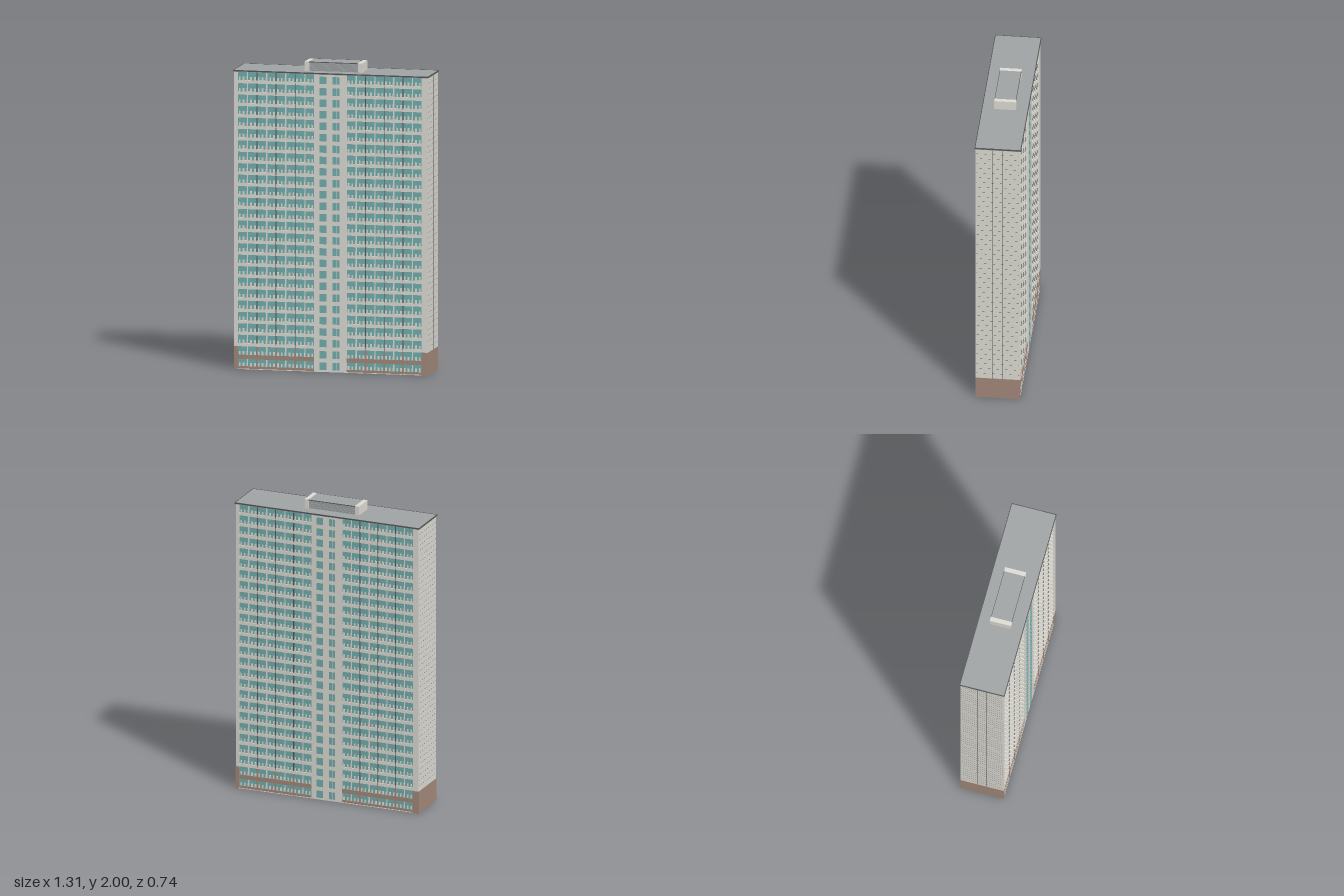
import * as THREE from 'three';
import { mergeGeometries } from 'three/addons/utils/BufferGeometryUtils.js';

const FLOORS = 26, FH = 0.0742, TOP = FLOORS * FH;   // storeys
const HX = 0.6375, HZ = 0.143;                       // half length and half depth
const BASE = 2 * FH;                                 // brown base height
const BAYS = 4, WALL = 0.615;                        // bays per wing, inner face of end wall
const WINGS = [[-WALL, -0.11], [0.104, 0.598]];      // balcony wings along one facade

const mat = (name, color) => {
  const m = new THREE.MeshStandardMaterial({ color });
  m.name = name;
  return m;
};

// Box given by its extents
function box(x0, x1, y0, y1, z0, z1) {
  const g = new THREE.BoxGeometry(x1 - x0, y1 - y0, z1 - z0);
  return g.translate((x0 + x1) / 2, (y0 + y1) / 2, (z0 + z1) / 2);
}

export function createModel() {
  const concrete = mat('concrete', 0xdfddd5);
  const brown = mat('brown cladding', 0xa58a7b);
  const glass = mat('teal glass', 0x74b0b0);
  const roofGrey = mat('roof grey', 0xa0a4a4);
  const dark = mat('dark joint', 0x56595a);

  const tower = new THREE.Group();
  tower.name = 'tower';

  // Merge boxes into one mesh; "both" repeats them turned half round
  function add(name, material, boxes, both = false) {
    let g = mergeGeometries(boxes);
    if (both) g = mergeGeometries([g, g.clone().rotateY(Math.PI)]);
    const mesh = new THREE.Mesh(g, material);
    mesh.name = name;
    tower.add(mesh);
  }

  // Glazed inner body, ground plate and stair core
  const zGlass = HZ - 0.01, zRail = HZ - 0.002;
  add('glazing', glass, [box(-WALL, WALL, 0.004, TOP, -zGlass, zGlass)]);
  add('groundPlate', concrete, [box(-WALL, WALL, 0, 0.004, -HZ, HZ)]);
  add('stairCore', concrete, [box(WINGS[0][1], WINGS[1][0], 0, TOP, zGlass - 0.01, HZ)], true);

  // End walls with brown base
  const returnX = WINGS[1][1];
  add('endWall', concrete, [
    box(WALL, HX, BASE, TOP, -HZ, HZ),
    box(returnX, WALL, BASE, TOP, zGlass - 0.01, HZ),
  ], true);
  add('endWallBase', brown, [
    box(WALL, HX + 0.002, 0, BASE, -HZ - 0.001, HZ + 0.001),
    box(returnX, WALL, 0, BASE, zGlass - 0.01, HZ + 0.001),
  ], true);

  // Panel joints on the end walls
  const joints = [];
  for (const f of [0.39, 0.6]) {
    const z = HZ - 2 * HZ * f;
    joints.push(box(HX - 0.001, HX + 0.0005, BASE, TOP, z - 0.0014, z + 0.0014));
  }
  for (let i = 5; i < FLOORS * 2; i++) {
    const y = i * FH / 2;
    joints.push(box(HX - 0.001, HX + 0.0004, y - 0.0004, y + 0.0004, -HZ + 0.006, HZ - 0.006));
  }
  add('panelJoints', dark, joints, true);

  // Facade, storey by storey
  const parapets = [], baseParapets = [], posts = [], fins = [], baseFins = [], stairWindows = [];
  for (const [x0, x1] of WINGS) {
    const bayW = (x1 - x0) / BAYS;
    // Fins between balconies
    for (let b = 1; b < BAYS; b++) {
      const x = x0 + b * bayW;
      fins.push(box(x - 0.002, x + 0.002, BASE, TOP, zGlass - 0.005, zRail));
      baseFins.push(box(x - 0.004, x + 0.004, 0, BASE, zGlass - 0.005, HZ));
    }
    for (let i = 0; i < FLOORS; i++) {
      const y = i * FH;
      // Balcony slab with low parapet
      const list = i < 2 ? baseParapets : parapets;
      list.push(box(x0, x1, y, y + 0.02, zGlass - 0.005, zRail));
      if (i === 1) list.push(box(x0, x1, y - 0.008, y, zGlass - 0.005, zRail));
      for (let b = 0; b < BAYS; b++) {
        const xb = x0 + b * bayW;
        // Railing posts, with a window mullion behind them
        for (let k = 0; k < 5; k++) {
          const x = xb + bayW * (k + 0.5) / 5;
          posts.push(box(x - 0.0055, x + 0.0055, y + 0.02, y + 0.043, zRail - 0.002, zRail));
        }
        const xm = xb + bayW * 0.5;
        posts.push(box(xm - 0.004, xm + 0.004, y + 0.02, y + FH, zGlass - 0.004, zGlass + 0.001));
      }
    }
  }
  // Stair windows
  for (let i = 0; i < FLOORS; i++) {
    for (const [a, b] of [[-0.073, -0.028], [0.012, 0.033], [0.037, 0.056]]) {
      stairWindows.push(box(a, b, i * FH + 0.013, i * FH + 0.061, HZ - 0.002, HZ + 0.0008));
    }
  }
  add('balconyParapets', concrete, parapets, true);
  add('baseParapets', brown, baseParapets, true);
  add('railingPosts', concrete, posts, true);
  add('balconyFins', dark, fins, true);
  add('baseFins', brown, baseFins, true);
  add('stairWindows', glass, stairWindows, true);

  // Roof slab with thin dark rim
  const RX = HX + 0.006, RZ = HZ + 0.006;
  add('roofSlab', roofGrey, [box(-RX, RX, TOP, 1.939, -RZ, RZ)]);
  add('roofRim', dark, [
    box(-RX - 0.001, RX + 0.001, 1.932, 1.94, RZ - 0.004, RZ + 0.001),
    box(RX - 0.004, RX + 0.001, 1.932, 1.94, -RZ, RZ),
  ], true);

  // Rooftop plant room: end blocks, louvred sides, flat lid
  const PX = 0.19, PZ = 0.07, EX = PX - 0.029;
  add('plantRoomEnds', concrete, [box(EX, PX, 1.935, 2, -PZ, PZ)], true);
  add('plantRoomCore', roofGrey, [box(-EX, EX, 1.935, 1.99, -PZ + 0.012, PZ - 0.012)]);
  add('plantRoomLid', roofGrey, [box(-EX, EX, 1.99, 1.999, -PZ + 0.002, PZ - 0.002)]);
  add('plantRoomLidEdge', dark, [box(-EX, EX, 1.995, 1.9995, PZ - 0.003, PZ)], true);
  const slats = [];
  for (let k = 0; k < 4; k++) {
    const y = 1.941 + k * 0.0125;
    slats.push(box(-EX, EX, y, y + 0.009, PZ - 0.013, PZ - 0.008));
  }
  add('louvres', roofGrey, slats, true);

  // The block stands at an angle to the axes
  tower.rotation.y = -0.363;
  const model = new THREE.Group();
  model.name = 'apartmentTower';
  model.add(tower);
  return model;
}
